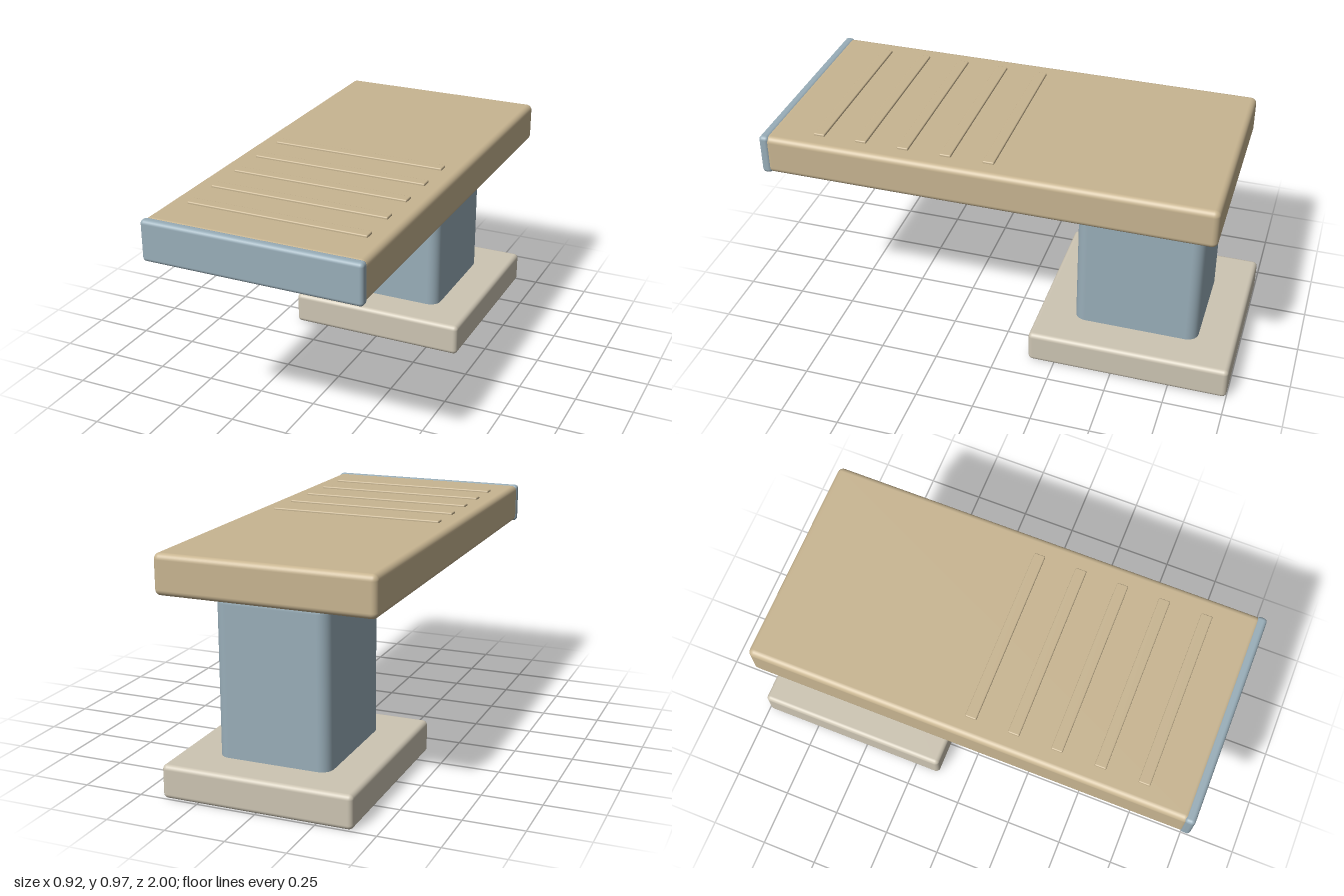
import * as THREE from 'three';
import { RoundedBoxGeometry } from 'three/addons/geometries/RoundedBoxGeometry.js';

export function createModel() {
  const material = (name, color) => {
    const m = new THREE.MeshStandardMaterial({ color });
    m.name = name;
    return m;
  };
  const tan = material('tan board', 0xc8b591);
  const blue = material('grey blue', 0x99aeb9);
  const stone = material('pale stone', 0xcdc5b3);

  const model = new THREE.Group();
  model.name = 'cantileverBoard';

  // Rounded block given by its half width and its y and z ranges
  const block = (name, mat, halfX, [y0, y1], [z0, z1], radius) => {
    const geometry = new RoundedBoxGeometry(halfX * 2, y1 - y0, z1 - z0, 4, radius);
    const mesh = new THREE.Mesh(geometry, mat);
    mesh.name = name;
    mesh.position.set(0, (y0 + y1) / 2, (z0 + z1) / 2);
    model.add(mesh);
  };

  // Base and pedestal, the pedestal's ends sunk into base and board
  block('base', stone, 0.402, [0, 0.141], [-1, -0.135], 0.02);
  block('pedestal', blue, 0.24, [0.07, 0.82], [-0.836, -0.296], 0.05);

  // Board and its front edge
  block('board', tan, 0.46, [0.795, 0.964], [-0.907, 0.978], 0.025);
  block('frontEdge', blue, 0.462, [0.793, 0.965], [0.957, 1], 0.016);

  // Grip ribs across the front half
  for (let i = 0; i < 5; i++) {
    const z = 0.036 + i * 0.182;
    block(`gripRib${i + 1}`, tan, 0.382, [0.95, 0.973], [z - 0.024, z + 0.024], 0.005);
  }
  return model;
}
